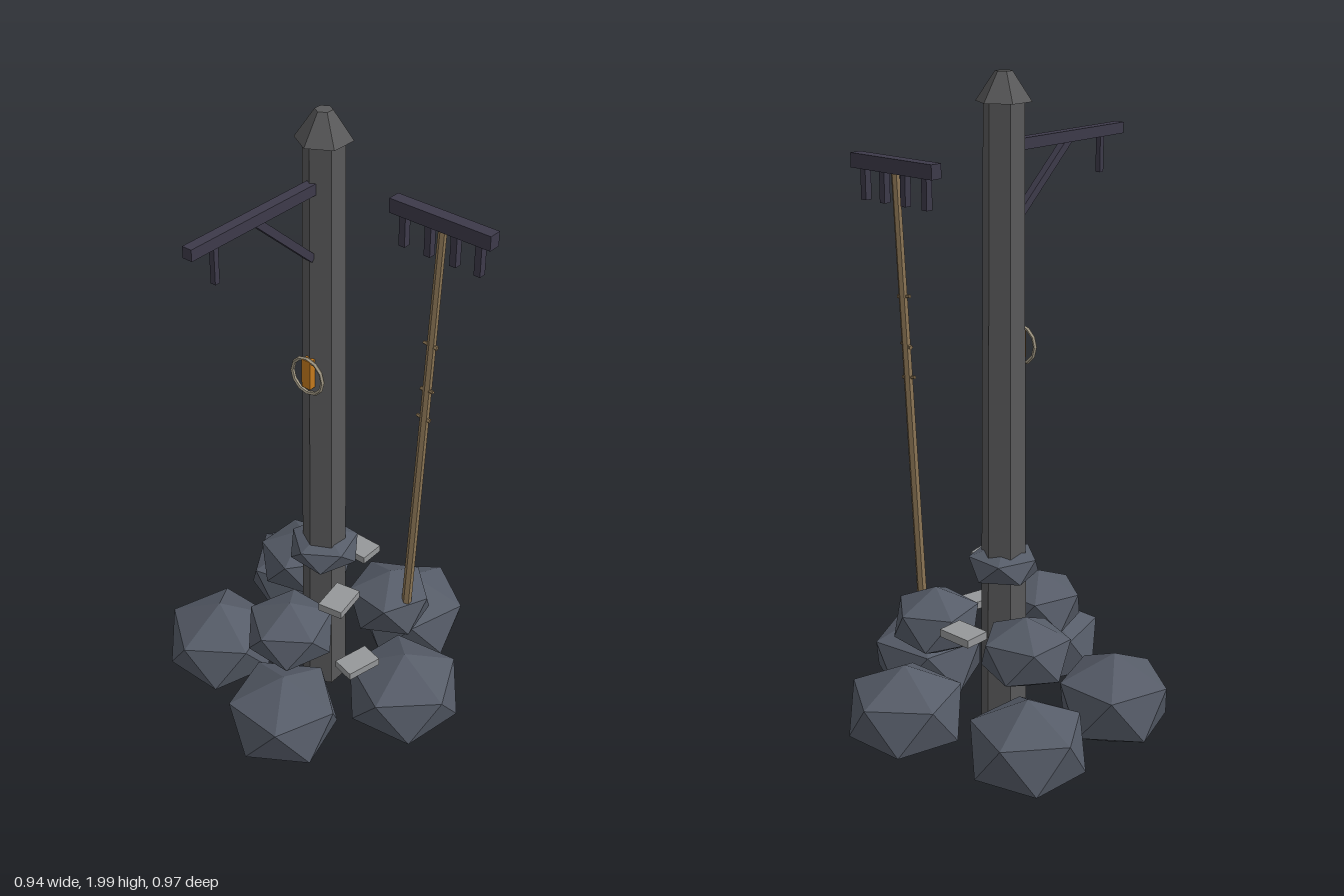
import * as THREE from 'three';

const mat = (color) => new THREE.MeshStandardMaterial({ color, flatShading: true });
const ROCK = mat(0x565c68), STONE = mat(0x59595a), SLAB = mat(0x96989a);
const IRON = mat(0x3d3a4a), WOOD = mat(0x8a7454), AMBER = mat(0xc47a1e), ROPE = mat(0xa39a86);
const PX = -0.02, PZ = -0.013; // post axis

export function createModel() {
  const model = new THREE.Group();

  function add(name, geometry, material, x = 0, y = 0, z = 0) {
    const mesh = new THREE.Mesh(geometry, material);
    mesh.name = name;
    mesh.position.set(x, y, z);
    model.add(mesh);
    return mesh;
  }
  const box = (name, m, w, h, d, x, y, z) => add(name, new THREE.BoxGeometry(w, h, d), m, x, y, z);

  // Straight bar between two points
  function bar(name, m, geometryFor, a, b) {
    const from = new THREE.Vector3(...a), to = new THREE.Vector3(...b);
    const dir = to.clone().sub(from);
    const mesh = add(name, geometryFor(dir.length()), m);
    mesh.position.copy(from).lerp(to, 0.5);
    mesh.quaternion.setFromUnitVectors(new THREE.Vector3(0, 1, 0), dir.normalize());
    return mesh;
  }
  const rod = (r0, r1, sides) => (len) => new THREE.CylinderGeometry(r1, r0, len, sides);

  // Hexagonal post and its cap
  add('post', new THREE.CylinderGeometry(0.057, 0.07, 1.86, 6), STONE, PX, 0.99, PZ);
  add('postCap', new THREE.CylinderGeometry(0.024, 0.078, 0.08, 6), STONE, PX, 1.96, PZ);

  // Boulders: icosahedra standing on a vertex, flattened and turned
  const rockShape = new THREE.IcosahedronGeometry(1, 0);
  rockShape.rotateZ(-Math.atan(2 / (1 + Math.sqrt(5))));
  // x, y, z, radius, half height, turn in degrees
  const rocks = {
    lowerBoulder: [
      [-0.295, 0.16, 0.175, 0.185, 0.15, 18],
      [0.085, 0.178, 0.3, 0.185, 0.148, 57],
      [0.3, 0.176, -0.013, 0.19, 0.147, 10],
      [0.095, 0.176, -0.315, 0.188, 0.147, 52],
      [-0.305, 0.176, -0.225, 0.185, 0.147, 40],
    ],
    middleBoulder: [
      [-0.188, 0.383, -0.103, 0.145, 0.11, 2],
      [0.005, 0.38, 0.175, 0.145, 0.108, 18],
      [0.147, 0.383, -0.13, 0.142, 0.11, 60],
    ],
    collarBoulder: [[PX, 0.58, PZ, 0.116, 0.066, 20]],
  };
  for (const [name, list] of Object.entries(rocks)) {
    for (const [x, y, z, r, h, turn] of list) {
      const rock = add(name, rockShape, ROCK, x, y, z);
      rock.scale.set(r, h, r);
      rock.rotation.y = -THREE.MathUtils.degToRad(turn);
    }
  }

  // Stepping slabs winding round the post
  for (const [x, y, z, w, d, turn] of [
    [0.222, 0.335, 0.118, 0.07, 0.11, -13],
    [-0.044, 0.43, -0.21, 0.11, 0.08, 0],
    [0.14, 0.53, 0.107, 0.077, 0.11, 10],
  ]) {
    box('stepSlab', SLAB, w, 0.024, d, x, y, z).rotation.y = THREE.MathUtils.degToRad(turn);
  }

  // Iron bracket with diagonal brace and hanging peg
  box('bracketArm', IRON, 0.03, 0.032, 0.46, PX, 1.801, 0.258);
  bar('bracketBrace', IRON, (len) => new THREE.BoxGeometry(0.022, len, 0.022), [PX, 1.6, 0.04], [PX, 1.79, 0.25]);
  box('bracketPeg', IRON, 0.016, 0.11, 0.016, PX, 1.737, 0.398);

  // Ring and amber tag on the post front
  add('ring', new THREE.TorusGeometry(0.055, 0.006, 5, 12), ROPE, PX, 1.235, 0.058);
  box('amberTag', AMBER, 0.03, 0.09, 0.022, PX, 1.243, 0.054);

  // Leaning rake: shaft, twig stubs, head and tines
  const foot = [0.231, 0.435, -0.105], tip = [0.273, 1.72, -0.138];
  bar('rakeShaft', WOOD, rod(0.015, 0.012, 6), foot, tip);
  [[1.36, -1], [1.215, 1], [1.12, -1]].forEach(([y, side]) => {
    const t = (y - foot[1]) / (tip[1] - foot[1]);
    const p = foot.map((v, i) => v + (tip[i] - v) * t);
    bar('twigStub', WOOD, rod(0.007, 0.005, 5),
      [p[0] - side * 0.02, y - 0.002, p[2]], [p[0] + side * 0.024, y + 0.004, p[2] + 0.004]);
  });
  box('rakeHead', IRON, 0.322, 0.042, 0.038, 0.271, 1.733, -0.14);
  for (const x of [0.15, 0.233, 0.316, 0.393]) box('rakeTine', IRON, 0.02, 0.1, 0.022, x, 1.673, -0.138);

  return model;
}
